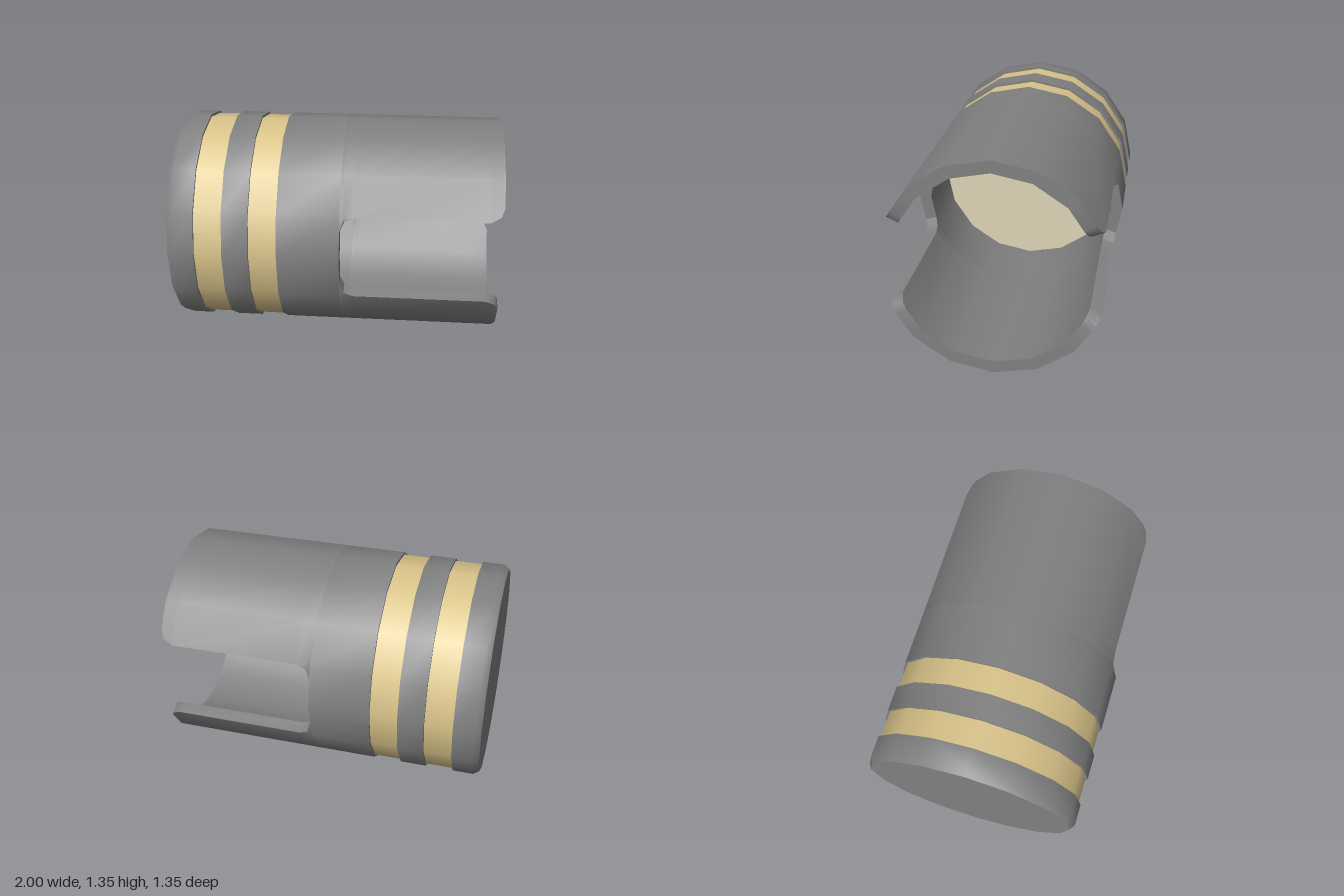
import * as THREE from 'three';
import { toCreasedNormals } from 'three/addons/utils/BufferGeometryUtils.js';

const SIDES = 16, STEP = (Math.PI * 2) / SIDES;
const R = 0.673, INNER = 0.597, BAND = 0.658, GROOVE = 0.645;
const SLOT_X = 0.04, FLOOR_X = -0.42;
const BANDS = [[-0.835, -0.665], [-0.505, -0.335]];
const CREASE = 0.7;

// Point on a 16-sided ring of corner radius r, in direction t around the x axis
function ringPoint(x, r, t) {
  const off = t - (Math.floor(t / STEP + 1e-6) + 0.5) * STEP;
  const d = (r * Math.cos(STEP / 2)) / Math.cos(off);
  return new THREE.Vector3(x, d * Math.sin(t), d * Math.cos(t));
}

// Half shell beside the slots: [x, slot half angle in degrees] per cross-section
function shellGeometry() {
  const stations = [[SLOT_X, 15], [0.065, 20.5], [0.12, 22.5], [0.92, 22.5], [0.98, 25.5], [1, 30]];
  const sections = stations.map(([x, deg]) => {
    const a = THREE.MathUtils.degToRad(deg);
    const angles = [a];
    for (let i = 1; i < SIDES / 2; i++) angles.push(Math.min(Math.max(i * STEP, a), Math.PI - a));
    angles.push(Math.PI - a);
    const outer = angles.map((t) => ringPoint(x, R, t));
    const inner = angles.map((t) => ringPoint(x, INNER, t)).reverse();
    return [...outer, ...inner];
  });
  const pos = [];
  const tri = (a, b, c) => {
    const area = b.clone().sub(a).cross(c.clone().sub(a)).length();
    if (area > 1e-7) for (const p of [a, b, c]) pos.push(p.x, p.y, p.z);
  };
  const quad = (a, b, c, d) => { tri(a, b, c); tri(a, c, d); };
  const n = sections[0].length;
  for (let s = 0; s < sections.length - 1; s++) {
    for (let i = 0; i < n; i++) {
      const j = (i + 1) % n;
      quad(sections[s][i], sections[s + 1][i], sections[s + 1][j], sections[s][j]);
    }
  }
  // Open end rim
  const e = sections[sections.length - 1];
  for (let i = 0; i < n / 2 - 1; i++) quad(e[i], e[n - 1 - i], e[n - 2 - i], e[i + 1]);
  const g = new THREE.BufferGeometry();
  g.setAttribute('position', new THREE.Float32BufferAttribute(pos, 3));
  return toCreasedNormals(g, CREASE);
}

// Closed rear of the tube, with bevelled base, two grooves and hollow front
function bodyGeometry() {
  const profile = [[0, -1], [0.65, -1], [R, -0.965]];
  for (const [a, b] of BANDS) profile.push([R, a], [GROOVE, a], [GROOVE, b], [R, b]);
  profile.push([R, SLOT_X], [INNER, SLOT_X], [INNER, FLOOR_X]);
  const g = new THREE.LatheGeometry(profile.map(([r, x]) => new THREE.Vector2(r, x)), SIDES);
  g.rotateZ(-Math.PI / 2);
  return toCreasedNormals(g, CREASE);
}

export function createModel() {
  const grey = new THREE.MeshStandardMaterial({ color: 0x808080 });
  grey.name = 'grey metal';
  const gold = new THREE.MeshStandardMaterial({ color: 0xdac48a });
  gold.name = 'pale gold';
  const cream = new THREE.MeshStandardMaterial({ color: 0xdcd4b6 });
  cream.name = 'cream';

  const model = new THREE.Group();
  model.name = 'slottedTube';
  const add = (name, geometry, material) => {
    const mesh = new THREE.Mesh(geometry, material);
    mesh.name = name;
    mesh.position.y = R;
    model.add(mesh);
    return mesh;
  };

  add('tubeBody', bodyGeometry(), grey);

  // Upper and lower prongs
  const shell = shellGeometry();
  add('upperShell', shell, grey);
  add('lowerShell', shell, grey).rotation.x = Math.PI;

  // Recessed bands
  BANDS.forEach(([a, b], i) => {
    const g = new THREE.CylinderGeometry(BAND, BAND, b - a, SIDES, 1, true);
    g.rotateZ(-Math.PI / 2);
    g.translate((a + b) / 2, 0, 0);
    add(i ? 'frontBand' : 'rearBand', g, gold);
  });

  // Floor of the hollow, facing the open end
  const floor = new THREE.CircleGeometry(INNER, SIDES);
  floor.rotateY(Math.PI / 2);
  floor.translate(FLOOR_X, 0, 0);
  add('innerFloor', floor, cream);

  return model;
}
